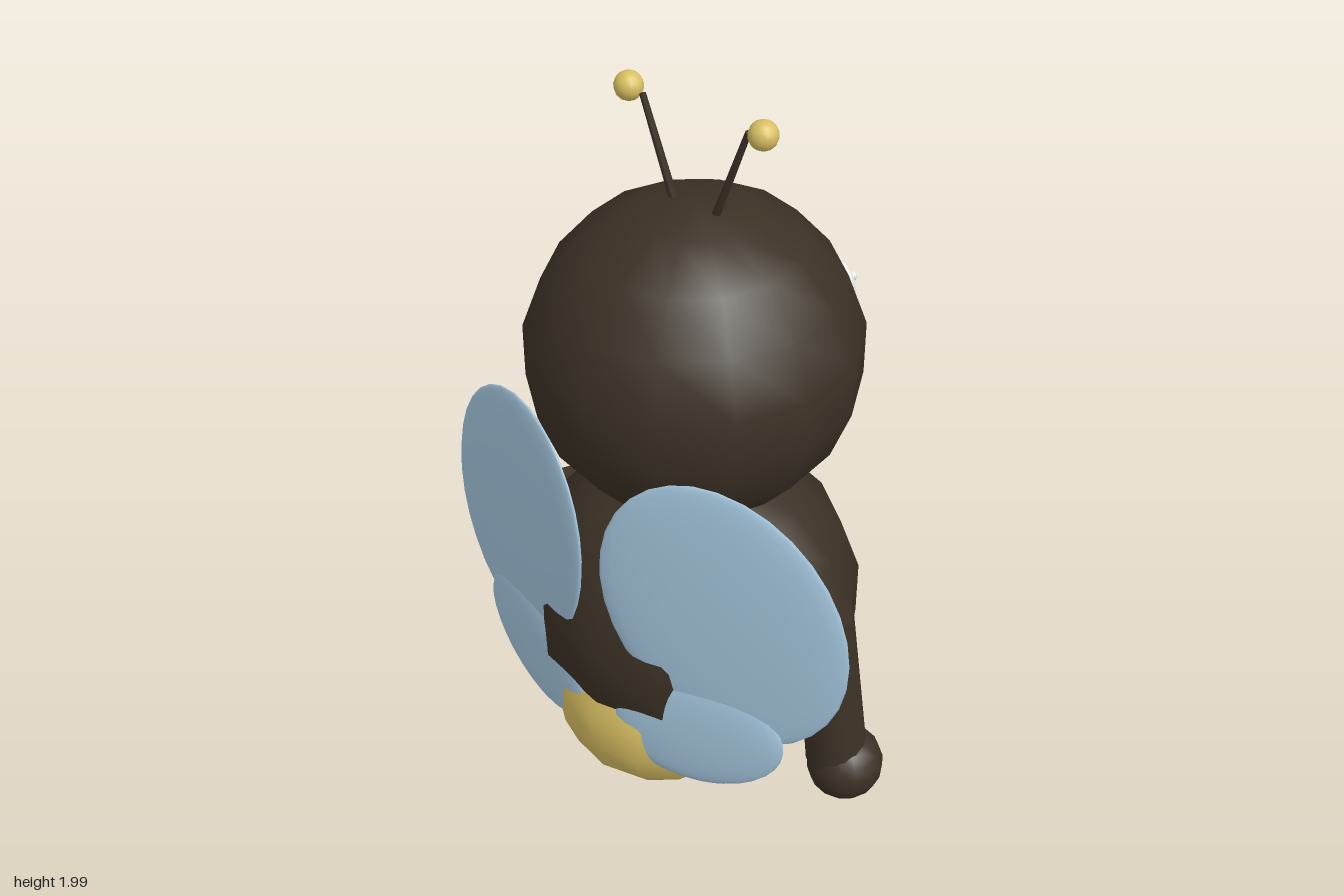
import * as THREE from 'three';

const mat = (name, color) => {
  const m = new THREE.MeshStandardMaterial({ color });
  m.name = name;
  return m;
};

export function createModel() {
  const dark = mat('dark brown', 0x3b3125);
  const yellow = mat('honey yellow', 0xd8bf62);
  const blue = mat('wing blue', 0xa4c6de);
  const white = mat('eye white', 0xeeeeec);

  const model = new THREE.Group();
  model.name = 'bee';

  // Ellipsoid with a vertex column on the z axis
  const ball = (name, material, pos, radii, rot = [0, 0, 0], w = 14, h = 9) => {
    const geo = new THREE.SphereGeometry(1, w, h).rotateY(Math.PI / 2).scale(...radii);
    const mesh = new THREE.Mesh(geo, material);
    mesh.name = name;
    mesh.position.set(...pos);
    mesh.rotation.set(...rot, 'YXZ');
    model.add(mesh);
    return mesh;
  };

  // Tapered rod between two points
  const rod = (name, material, a, b, ra, rb, sides) => {
    const p = new THREE.Vector3(...a), q = new THREE.Vector3(...b);
    const dir = q.clone().sub(p);
    const mesh = new THREE.Mesh(new THREE.CylinderGeometry(rb, ra, dir.length(), sides), material);
    mesh.name = name;
    mesh.position.copy(p).add(q).multiplyScalar(0.5);
    mesh.quaternion.setFromUnitVectors(new THREE.Vector3(0, 1, 0), dir.normalize());
    model.add(mesh);
  };

  // Body, tail and head
  ball('body', dark, [0, 0.525, 0], [0.455, 0.46, 0.435]);
  ball('tail', yellow, [0, 0.31, 0.14], [0.295, 0.3, 0.3]);
  ball('head', dark, [0, 1.31, 0], [0.425, 0.42, 0.43]);
  ball('mouth', dark, [0, 1.135, -0.385], [0.065, 0.026, 0.018], [0.45, 0, 0]);

  for (const s of [1, -1]) {
    const side = s > 0 ? 'left' : 'right';

    // Wings, swept towards the middle of the back
    ball(side + 'UpperWing', blue, [s * 0.335, 0.82, 0.315], [0.31, 0.41, 0.025],
      [0, s * 0.32, s * 0.34], 24, 16);
    ball(side + 'LowerWing', blue, [s * 0.275, 0.41, 0.338], [0.235, 0.175, 0.025],
      [0, s * 0.29, s * 0.2], 24, 16);

    // Arms and hands
    rod(side + 'Arm', dark, [s * 0.485, 0.18, -0.003], [s * 0.425, 0.67, 0.003], 0.083, 0.075, 14);
    ball(side + 'Hand', dark, [s * 0.505, 0.16, -0.015], [0.103, 0.103, 0.105]);

    // Feet
    ball(side + 'Foot', dark, [s * 0.16, 0.1, -0.1], [0.113, 0.057, 0.14]);

    // Eyes on the -z side of the head
    ball(side + 'Eye', white, [s * 0.16, 1.357, -0.385], [0.062, 0.083, 0.026], [0, -s * 0.25, 0]);
    ball(side + 'Pupil', dark, [s * 0.157, 1.35, -0.408], [0.037, 0.05, 0.022], [0, -s * 0.25, 0]);
    ball(side + 'EyeGlint', white, [s * 0.155 + 0.015, 1.373, -0.43], [0.014, 0.014, 0.012]);

    // Antennae
    rod(side + 'Antenna', dark, [s * 0.058, 1.7, 0], [s * 0.152, 1.958, 0], 0.011, 0.008, 8);
    ball(side + 'AntennaTip', yellow, [s * 0.193, 1.965, 0], [0.036, 0.036, 0.036]);
  }
  return model;
}
